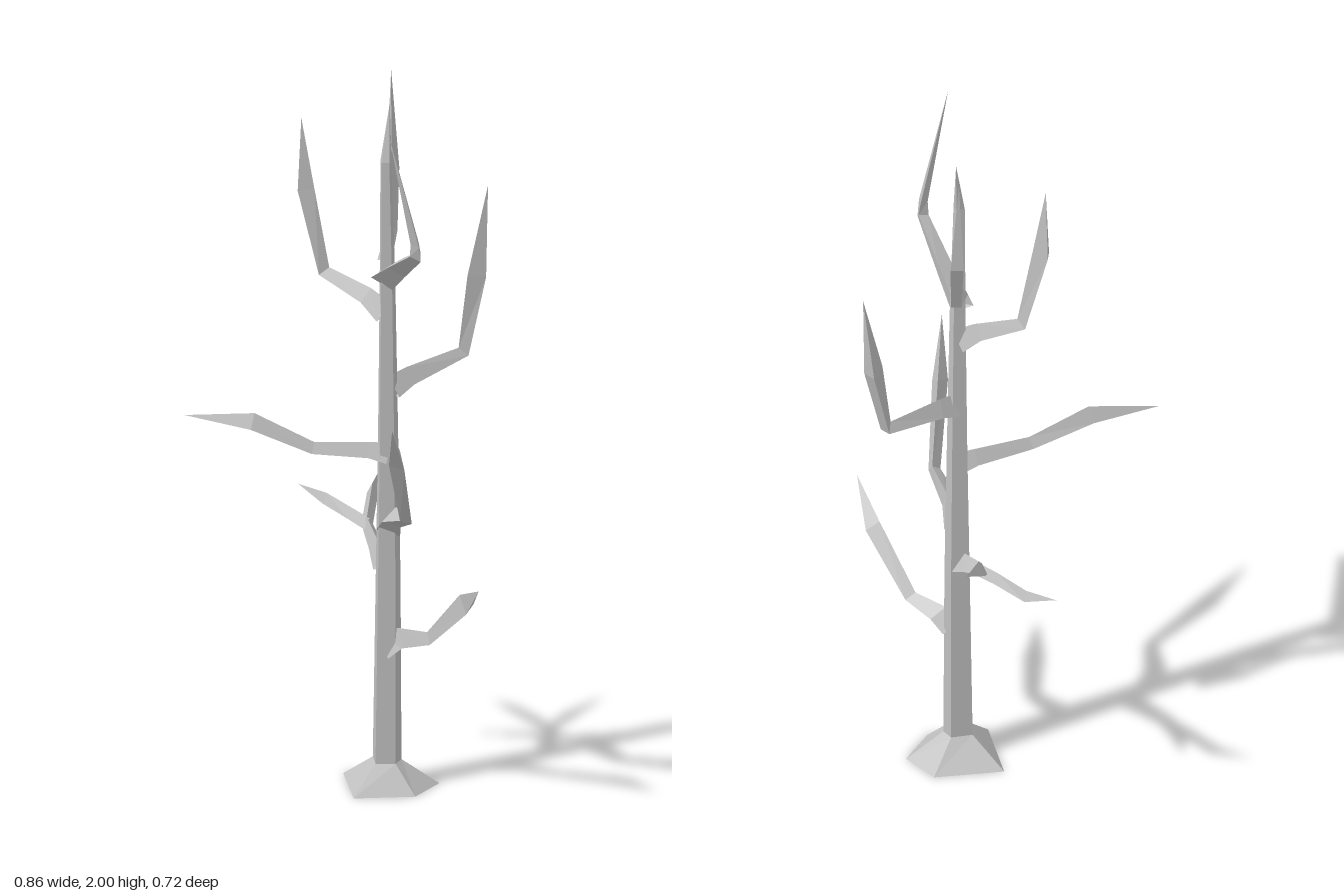
import * as THREE from 'three';

const bark = new THREE.MeshStandardMaterial({ color: 0xc0c0c0, flatShading: true, side: THREE.DoubleSide });
bark.name = 'greyBark';

// Skin a list of equal-sized rings; the last ring may collapse into a tip.
function loft(rings, name) {
  const pos = [];
  const tri = (...pts) => pts.forEach(p => pos.push(p.x, p.y, p.z));
  for (let k = 0; k < rings.length - 1; k++) {
    const a = rings[k], b = rings[k + 1], n = a.length;
    for (let i = 0; i < n; i++) {
      const j = (i + 1) % n;
      tri(a[i], b[i], a[j]);
      if (b[i].distanceTo(b[j]) > 1e-5) tri(a[j], b[i], b[j]);
    }
  }
  const g = new THREE.BufferGeometry();
  g.setAttribute('position', new THREE.Float32BufferAttribute(pos, 3));
  g.computeVertexNormals();
  const mesh = new THREE.Mesh(g, bark);
  mesh.name = name;
  return mesh;
}

// Three-sided limb, its ridge rolled from the top by some degrees.
// Stations are [x, y, z, radius]; the one before the tip is a narrow blade.
function limb(name, roll, stations) {
  const pts = stations.map(s => new THREE.Vector3(s[0], s[1], s[2]));
  const last = pts.length - 1;
  const side = pts[last].clone().sub(pts[0]).setY(0).normalize().cross(new THREE.Vector3(0, 1, 0));
  const rings = pts.map((p, i) => {
    const t = new THREE.Vector3();
    if (i > 0) t.add(p.clone().sub(pts[i - 1]).normalize());
    if (i < last) t.add(pts[i + 1].clone().sub(p).normalize());
    t.normalize();
    const up = side.clone().cross(t).normalize();
    const width = i === last - 1 ? 0.66 : 0.92;
    return [90, 210, 330].map(deg => {
      const a = (deg + roll) * Math.PI / 180, r = stations[i][3];
      return p.clone().addScaledVector(side, width * r * Math.cos(a)).addScaledVector(up, r * Math.sin(a));
    });
  });
  return loft(rings, name);
}

export function createModel() {
  const tree = new THREE.Group();
  tree.name = 'bareTree';

  // Five-sided trunk: x, y, z, radius
  const angles = [-77, -27, 29, 106, 197].map(d => d * Math.PI / 180);
  const ring = ([x, y, z, r]) => angles.map(a =>
    new THREE.Vector3(x + r * Math.cos(a), y, z + r * Math.sin(a)));
  const collar = [0.061, 0.075, -0.014, 0.044];
  tree.add(loft([
    collar, [0.063, 0.6, -0.018, 0.038], [0.063, 1.0, -0.02, 0.031],
    [0.062, 1.45, -0.02, 0.024], [0.058, 1.8, -0.021, 0.017], [0.057, 1.957, -0.056, 0],
  ].map(ring), 'trunk'));

  // Irregular root flare, open underneath
  const foot = [[0.09, -0.15], [0.19, -0.087], [0.17, 0.04], [0.02, 0.116], [-0.083, -0.065]]
    .map(([x, z]) => new THREE.Vector3(x, 0, z));
  tree.add(loft([foot, ring(collar)], 'rootFlare'));

  // Branches from the lowest up: roll, then stations
  const branches = {
    lowLeftBranch: [-25, [[0.075, 0.405, -0.015, 0.042], [0.12, 0.437, -0.008, 0.033],
      [0.21, 0.457, 0.022, 0.021], [0.348, 0.602, 0.11, 0.034], [0.428, 0.687, 0.221, 0]]],
    forkedBranch: [0, [[0.05, 0.63, -0.03, 0.037], [0.01, 0.665, -0.08, 0.028],
      [-0.045, 0.705, -0.145, 0.02], [-0.065, 0.765, -0.235, 0.027], [-0.068, 0.828, -0.36, 0]]],
    forkedTwig: [0, [[-0.035, 0.7, -0.135, 0.02], [-0.1, 0.708, -0.175, 0.019],
      [-0.205, 0.715, -0.245, 0.02], [-0.297, 0.74, -0.27, 0]]],
    frontBranch: [15, [[0.072, 0.75, -0.02, 0.042], [0.1, 0.79, 0.03, 0.033],
      [0.175, 0.828, 0.115, 0.021], [0.198, 1.035, 0.238, 0.038], [0.228, 1.167, 0.355, 0]]],
    longRightBranch: [-8, [[0.065, 0.953, -0.015, 0.036], [0.02, 0.967, 0.01, 0.028],
      [-0.11, 0.985, 0.095, 0.021], [-0.26, 1.062, 0.165, 0.031], [-0.433, 1.085, 0.227, 0]]],
    backBranch: [0, [[0.072, 1.145, -0.025, 0.039], [0.1, 1.163, -0.08, 0.031],
      [0.193, 1.192, -0.25, 0.021], [0.216, 1.4, -0.297, 0.034], [0.236, 1.653, -0.329, 0]]],
    upperRightBranch: [-8, [[0.055, 1.36, -0.018, 0.039], [0, 1.402, -0.022, 0.029],
      [-0.125, 1.457, -0.025, 0.021], [-0.18, 1.69, -0.02, 0.03], [-0.187, 1.895, -0.018, 0]]],
    upperFrontBranch: [30, [[0.06, 1.468, -0.015, 0.042], [0.13, 1.53, 0.06, 0.032],
      [0.228, 1.612, 0.173, 0.021], [0.229, 1.65, 0.183, 0.022], [0.177, 1.982, 0.251, 0]]],
    upperBackBranch: [0, [[0.058, 1.527, -0.02, 0.028], [0.045, 1.542, -0.07, 0.022],
      [0.03, 1.562, -0.14, 0.018], [0.012, 1.72, -0.188, 0.031], [0.002, 1.998, -0.204, 0]]],
  };
  for (const [name, [roll, stations]] of Object.entries(branches)) tree.add(limb(name, roll, stations));
  return tree;
}
